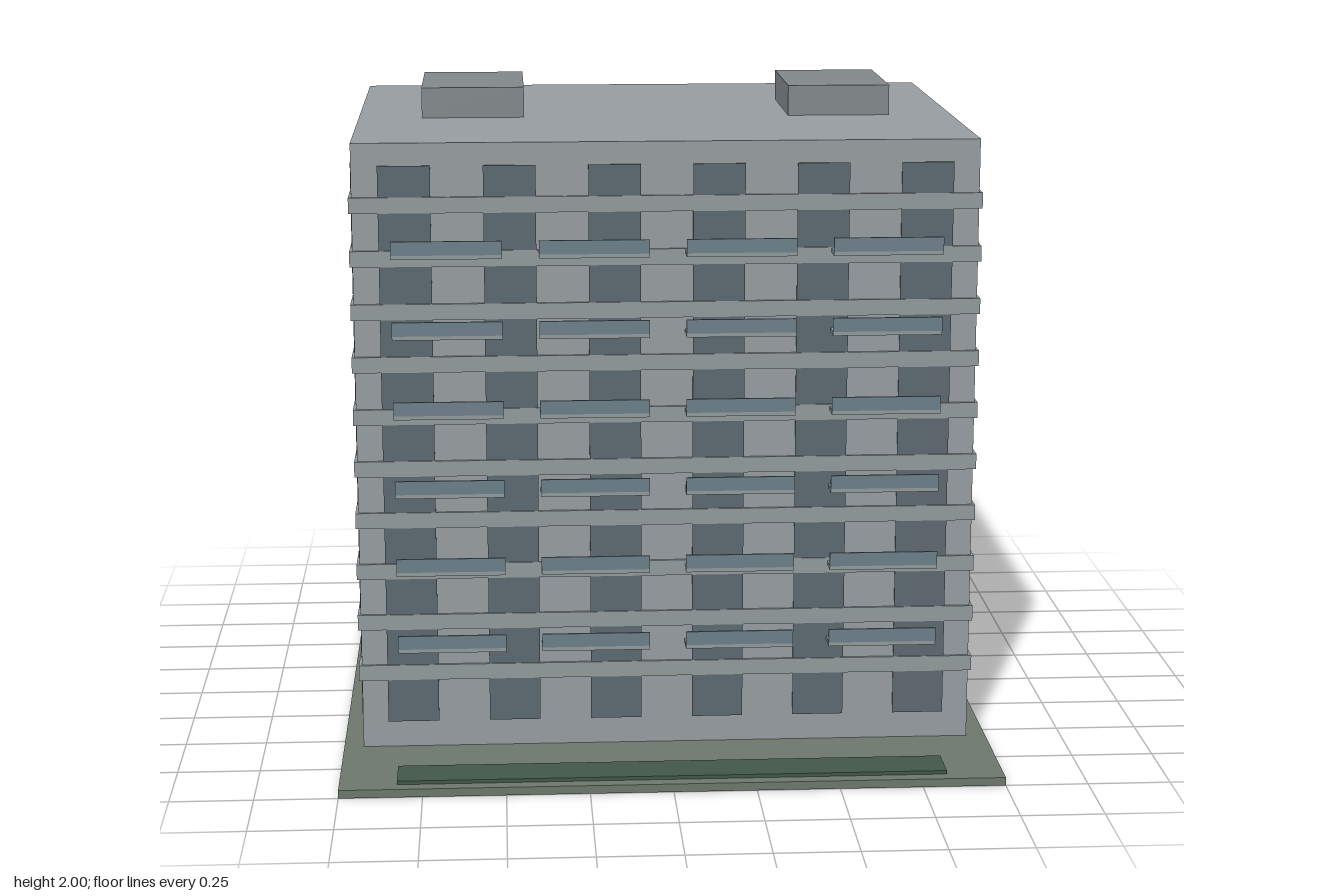
import * as THREE from 'three';

const mat = (color) => new THREE.MeshStandardMaterial({ color });

export function createModel() {
  const model = new THREE.Group();
  const wall = mat(0x969da0), trim = mat(0x929a9b), glass = mat(0x5c6870);
  const rail = mat(0x6c7f89), roofGrey = mat(0x82888b);
  const paving = mat(0x6d786d), hedgeGreen = mat(0x42584a);

  // Box given by its limits on each axis
  const box = (name, material, [x0, x1], [y0, y1], [z0, z1], parent = model) => {
    const mesh = new THREE.Mesh(new THREE.BoxGeometry(x1 - x0, y1 - y0, z1 - z0), material);
    mesh.position.set((x0 + x1) / 2, (y0 + y1) / 2, (z0 + z1) / 2);
    mesh.name = name;
    parent.add(mesh);
    return mesh;
  };
  const group = (name) => {
    const g = new THREE.Group();
    g.name = name;
    model.add(g);
    return g;
  };

  // Ground and planting
  box('groundSlab', paving, [-1, 1], [0, 0.025], [-1, 1]);
  box('plantingBed', hedgeGreen, [-0.827, 0.827], [0.025, 0.036], [0.828, 0.96]);

  // Main block
  const W = 0.94, back = -0.84, front = 0.62, midZ = (back + front) / 2;
  const top = 1.905;
  box('mainBlock', wall, [-W, W], [0.025, top], [back, front]);

  // Window strips on all four sides, divided into floors by the bands
  const windows = group('windows');
  const winY = [0.107, 1.837], out = 0.005;
  const stepX = (2 * W) / 6, stepZ = (front - back) / 5;
  for (let i = 0; i < 6; i++) {
    const x = (i - 2.5) * stepX, xs = [x - stepX / 4, x + stepX / 4];
    box('frontWindow', glass, xs, winY, [front - 0.01, front + out], windows);
    box('backWindow', glass, xs, winY, [back - out, back + 0.01], windows);
  }
  for (let i = 0; i < 5; i++) {
    const z = midZ + (i - 2) * stepZ, zs = [z - stepZ / 4, z + stepZ / 4];
    box('leftWindow', glass, [W - 0.01, W + out], winY, zs, windows);
    box('rightWindow', glass, [-W - out, -W + 0.01], winY, zs, windows);
  }

  // Floor bands wrapping the block
  const bands = group('floorBands');
  const lip = 0.009;
  for (let i = 0; i < 10; i++) {
    const y = 0.266 + i * 0.1615;
    box('floorBand', trim, [-W - lip, W + lip], [y - 0.024, y + 0.024],
      [back - lip, front + lip], bands);
  }

  // Front balconies: slab with an upright front panel
  const balconies = group('balconies');
  for (let row = 0; row < 6; row++) {
    const y = 0.348 + row * 0.2438;
    for (const x of [-0.66, -0.22, 0.22, 0.66]) {
      const xs = [x - 0.165, x + 0.165];
      box('balconySlab', trim, xs, [y, y + 0.012], [front, 0.692], balconies);
      box('balconyPanel', rail, xs, [y + 0.012, y + 0.054], [0.686, 0.693], balconies);
    }
  }

  // Roof housings
  for (const s of [-1, 1]) {
    box('roofHousing', roofGrey, [s * 0.58 - 0.161, s * 0.58 + 0.161], [top, 2], [-0.4, 0.04]);
  }
  return model;
}
